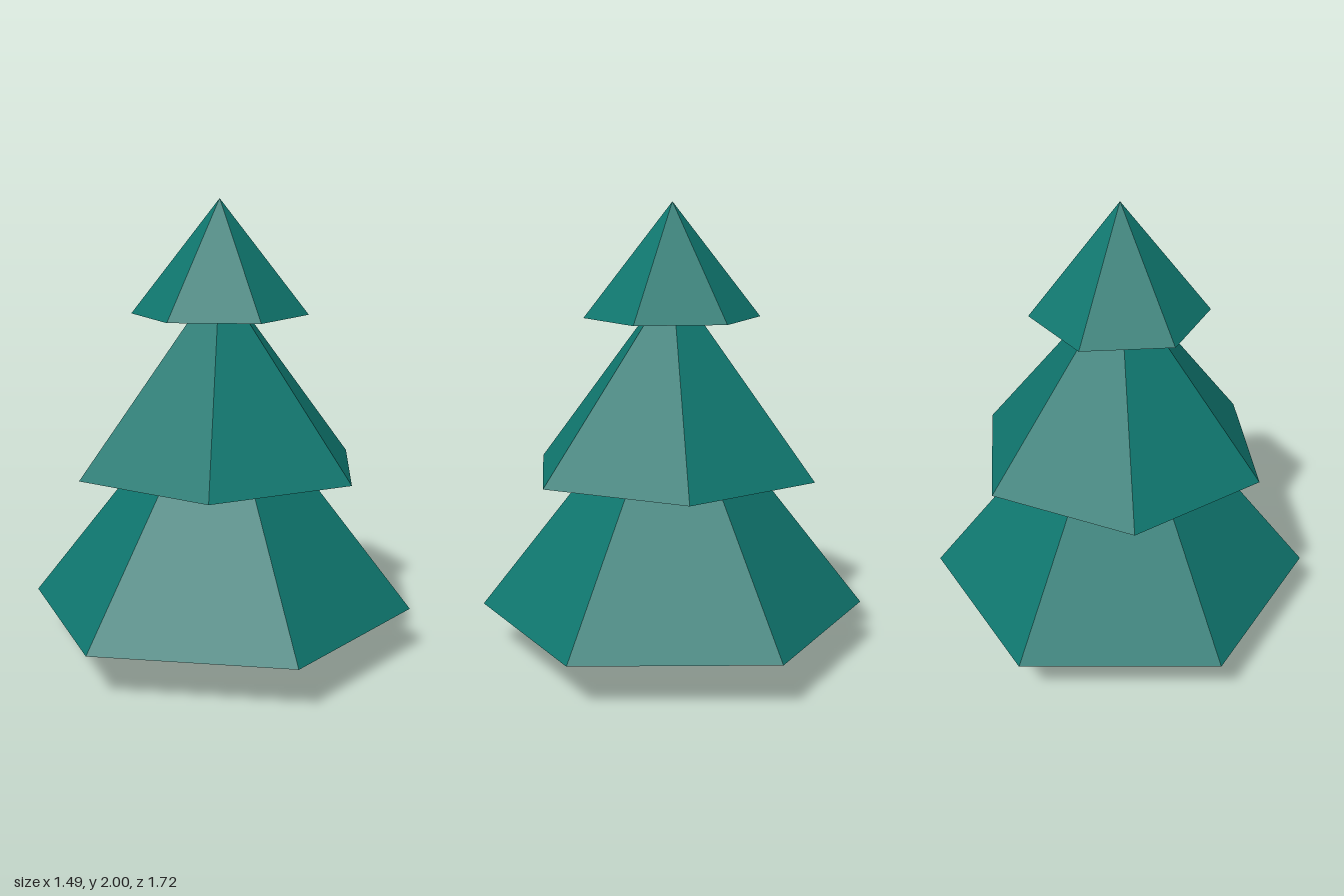
import * as THREE from 'three';

export function createModel() {
  const tree = new THREE.Group();
  tree.name = 'pineTree';

  const foliage = new THREE.MeshStandardMaterial({ color: 0x0f766e, flatShading: true });
  foliage.name = 'foliageGreen';
  const bark = new THREE.MeshStandardMaterial({ color: 0x5d4037, flatShading: true });
  bark.name = 'barkBrown';

  // Tapered hexagonal solid standing on baseY, turned about its axis
  function addTier(name, material, topRadius, radius, baseY, topY, turn) {
    const height = topY - baseY;
    const geometry = new THREE.CylinderGeometry(topRadius, radius, height, 6);
    const mesh = new THREE.Mesh(geometry, material);
    mesh.name = name;
    mesh.position.y = baseY + height / 2;
    mesh.rotation.y = turn;
    tree.add(mesh);
  }

  // Trunk, ending inside the lowest tier
  addTier('trunk', bark, 0.16, 0.2, 0, 0.4, 0);

  // Three overlapping tiers of branches
  addTier('lowerBranches', foliage, 0, 0.86, 0.2, 1.3, 0);
  addTier('middleBranches', foliage, 0, 0.663, 0.83, 1.67, 0.612);
  addTier('upperBranches', foliage, 0, 0.387, 1.505, 2, 0.085);

  return tree;
}
